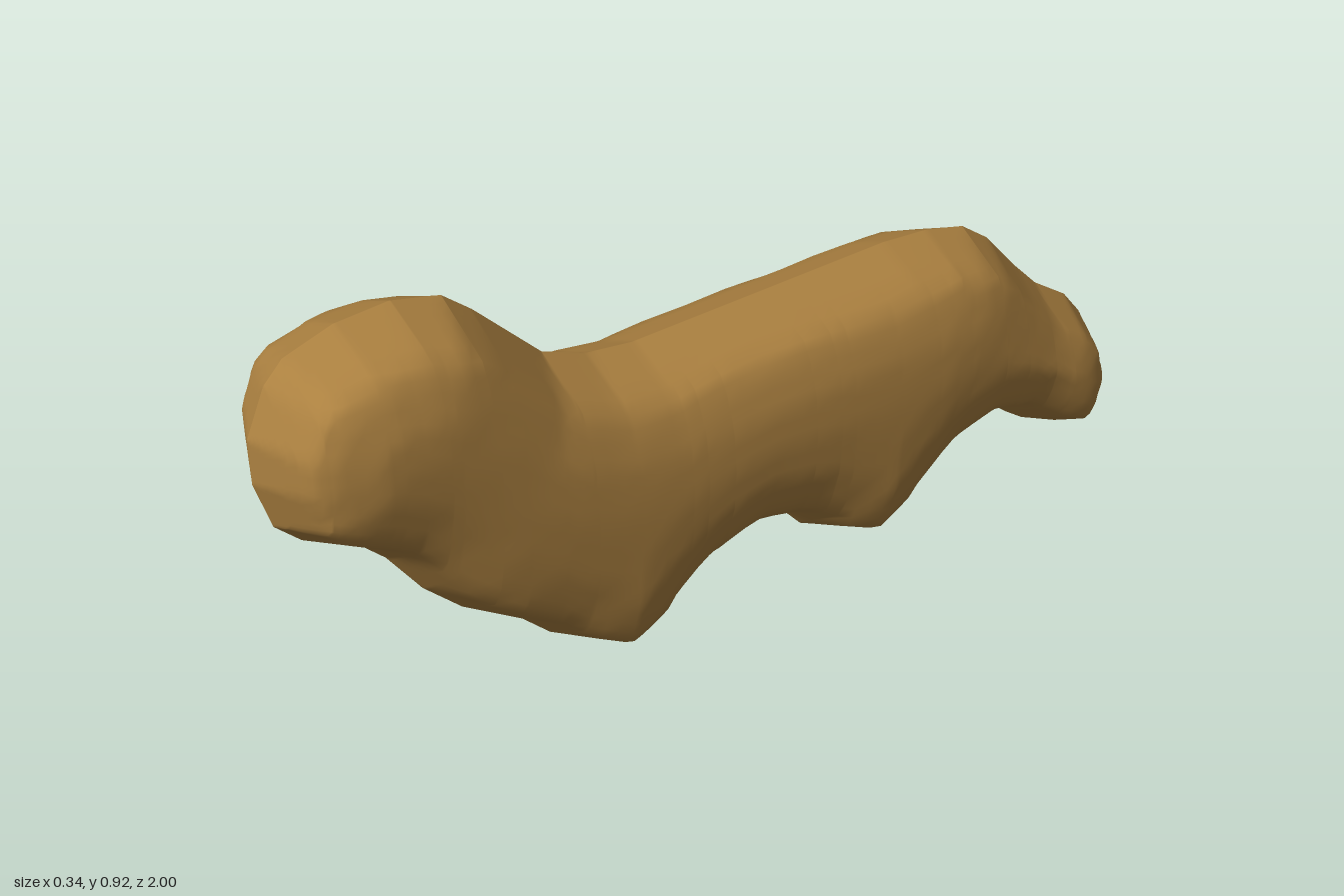
import * as THREE from 'three';
import { mergeVertices } from 'three/addons/utils/BufferGeometryUtils.js';

// Side outline as [z, y], back to front: upper edge and lower edge
const TOP = [[-1, .18], [-.97, .28], [-.92, .34], [-.83, .4], [-.77, .46], [-.68, .56], [-.61, .61],
  [-.51, .635], [-.4, .645], [.21, .645], [.31, .66], [.41, .7], [.46, .75], [.55, .84], [.61, .89],
  [.71, .915], [.82, .91], [.92, .88], [.96, .84], [1, .75]];
const BOTTOM = [[-1, .18], [-.98, .1], [-.925, .015], [-.82, .065], [-.77, .1], [-.72, .14], [-.62, .165],
  [-.52, .145], [-.46, .1], [-.42, .06], [-.31, 0], [-.2, .055], [-.16, .1], [-.1, .14], [0, .165],
  [.1, .14], [.16, .1], [.2, .055], [.31, 0], [.42, .07], [.48, .13], [.61, .22], [.69, .3], [.76, .4],
  [.8, .44], [.92, .51], [.97, .56], [1, .66]];
// Half thickness by distance from the outline, and its slimming toward the tail
const BEVEL = [[0, 0], [.055, .122], [.09, .142], [.16, .164], [.25, .171]];
const SLIM = [[-1, .95], [-.9, .93], [-.8, .9], [-.6, .95], [-.45, 1]];

// Linear lookup in a list of [t, value]
function lookup(points, t) {
  if (t <= points[0][0]) return points[0][1];
  for (let i = 1; i < points.length; i++) {
    const [a, va] = points[i - 1], [b, vb] = points[i];
    if (t <= b) return va + (vb - va) * (t - a) / (b - a);
  }
  return points[points.length - 1][1];
}

// Shortest distance from (z, y) to the closed outline
const LOOP = [...TOP, ...BOTTOM.slice().reverse()];
function edgeDistance(z, y) {
  let best = Infinity;
  LOOP.forEach(([az, ay], i) => {
    const [bz, by] = LOOP[(i + 1) % LOOP.length];
    const dz = bz - az, dy = by - ay, len = dz * dz + dy * dy;
    const t = len ? Math.min(1, Math.max(0, ((z - az) * dz + (y - ay) * dy) / len)) : 0;
    best = Math.min(best, Math.hypot(z - az - t * dz, y - ay - t * dy));
  });
  return best;
}

// Padded body: two mirrored sheets bulging out from the outline
function bodyGeometry() {
  const stations = new Set([...TOP, ...BOTTOM].map(p => p[0]));
  for (let i = -48; i <= 48; i++) stations.add(+Math.sin(i / 48 * Math.PI / 2).toFixed(3));
  const zs = [...stations].sort((a, b) => a - b);
  const ROWS = 28, positions = [], indices = [];
  for (const side of [1, -1]) {
    const base = positions.length / 3;
    zs.forEach((z, i) => {
      const lo = lookup(BOTTOM, z), hi = lookup(TOP, z);
      for (let j = 0; j <= ROWS; j++) {
        const y = lo + (hi - lo) * (1 - Math.cos(j / ROWS * Math.PI)) / 2;
        const rim = j === 0 || j === ROWS || Math.abs(z) === 1;
        const x = rim ? 0 : lookup(BEVEL, edgeDistance(z, y)) * lookup(SLIM, z);
        positions.push(side * x, y, z);
        if (i === 0 || j === 0) continue;
        const d = base + i * (ROWS + 1) + j, c = d - 1, b = d - ROWS - 1, a = b - 1;
        if (side > 0) indices.push(a, b, c, b, d, c);
        else indices.push(a, c, b, b, c, d);
      }
    });
  }
  const geometry = new THREE.BufferGeometry();
  geometry.setAttribute('position', new THREE.Float32BufferAttribute(positions, 3));
  geometry.setIndex(indices);
  const welded = mergeVertices(geometry, 1e-4);
  welded.computeVertexNormals();
  return welded;
}

export function createModel() {
  const group = new THREE.Group();
  group.name = 'animalShape';
  const tan = new THREE.MeshStandardMaterial({ color: 0xad8241 });
  tan.name = 'tan';
  const body = new THREE.Mesh(bodyGeometry(), tan);
  body.name = 'body';
  group.add(body);
  return group;
}
